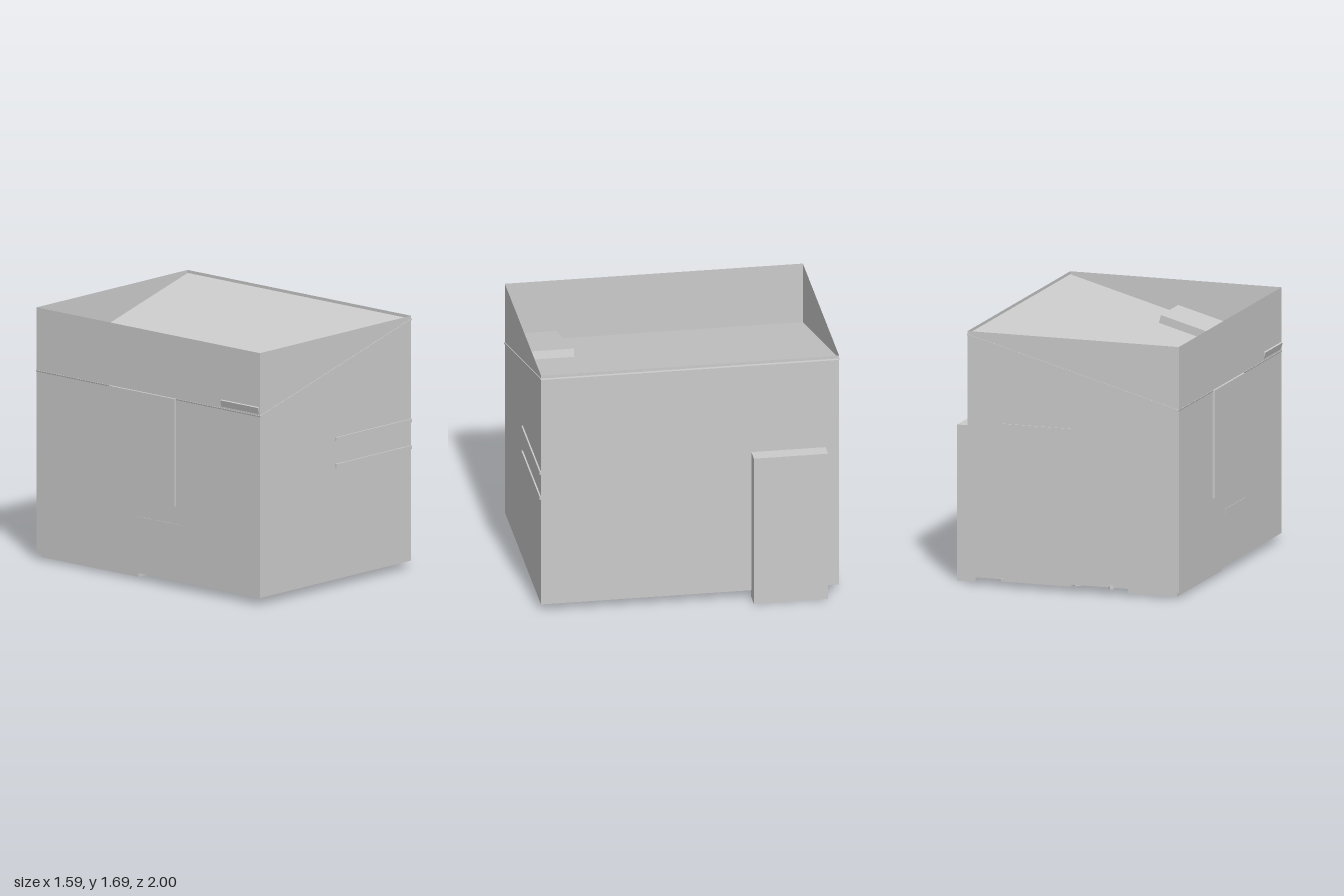
import * as THREE from 'three';

export function createModel() {
  const model = new THREE.Group();
  const material = new THREE.MeshStandardMaterial({ color: 0xcccccc, flatShading: true });
  const openMaterial = material.clone();
  openMaterial.side = THREE.DoubleSide;

  // Box given by its lower and upper corner
  function block(name, [x0, y0, z0], [x1, y1, z1], parent = model) {
    const mesh = new THREE.Mesh(new THREE.BoxGeometry(x1 - x0, y1 - y0, z1 - z0), material);
    mesh.position.set((x0 + x1) / 2, (y0 + y1) / 2, (z0 + z1) / 2);
    mesh.name = name;
    parent.add(mesh);
    return mesh;
  }

  // Square bar lying between two ground points
  function bar(name, [xa, za], [xb, zb], y, size) {
    const dx = xb - xa, dz = zb - za;
    const mesh = new THREE.Mesh(new THREE.BoxGeometry(Math.hypot(dx, dz), size, size), material);
    mesh.position.set((xa + xb) / 2, y, (za + zb) / 2);
    mesh.rotation.y = Math.atan2(-dz, dx);
    mesh.name = name;
    model.add(mesh);
  }

  // Thin outer walls and floor, open at the top
  const walls = block('walls', [-0.78, 0.05, -0.98], [0.685, 1.69, 0.99]);
  const faces = Array.from(walls.geometry.index.array);
  faces.splice(12, 6); // remove the top face
  walls.geometry.setIndex(faces);
  walls.geometry.clearGroups();
  walls.material = openMaterial;

  // Roof falling from the left wall to the right wall, with a slab lying on it
  const roof = new THREE.Group();
  roof.name = 'roof';
  const slope = Math.atan2(0.4, 1.465);
  roof.position.set(-0.0475, 1.47, 0);
  roof.rotation.z = slope;
  const half = 0.735 / Math.cos(slope);
  block('roofPanel', [-half, -0.01, -0.984], [half, 0, 0.994], roof);
  block('roofSlab', [-0.73 / Math.cos(slope), 0, 0.65], [-0.005, 0.055, 0.982], roof);
  model.add(roof);

  // Rails on the front wall
  for (const y of [0.8, 0.978]) block('frontRail', [-0.05, y, 0.985], [0.685, y + 0.023, 1.0]);

  // Cabinet standing against the left wall
  block('cabinet', [0.663, 0, -0.89], [0.79, 1.04, -0.4]);

  // Back door with its sill
  block('backDoor', [-0.04, 0.05, -0.987], [0.44, 1.09, -0.97]);
  block('doorSill', [-0.035, 0.037, -0.987], [0.45, 0.055, -0.93]);

  // Window and ledge on the right wall
  block('window', [-0.795, 0.55, -0.33], [-0.77, 1.27, 0.25]);
  block('windowLedge', [-0.783, 0.4, -0.09], [-0.775, 0.43, 0.3]);

  // Plinth and crossed bars below the floor
  block('plinth', [-0.76, 0.018, -0.96], [-0.42, 0.055, -0.1]);
  bar('crossBar', [-0.315, -0.99], [-0.105, -0.6], 0.053, 0.026);
  bar('crossBar', [-0.05, -0.965], [-0.38, -0.65], 0.05, 0.022);

  return model;
}
